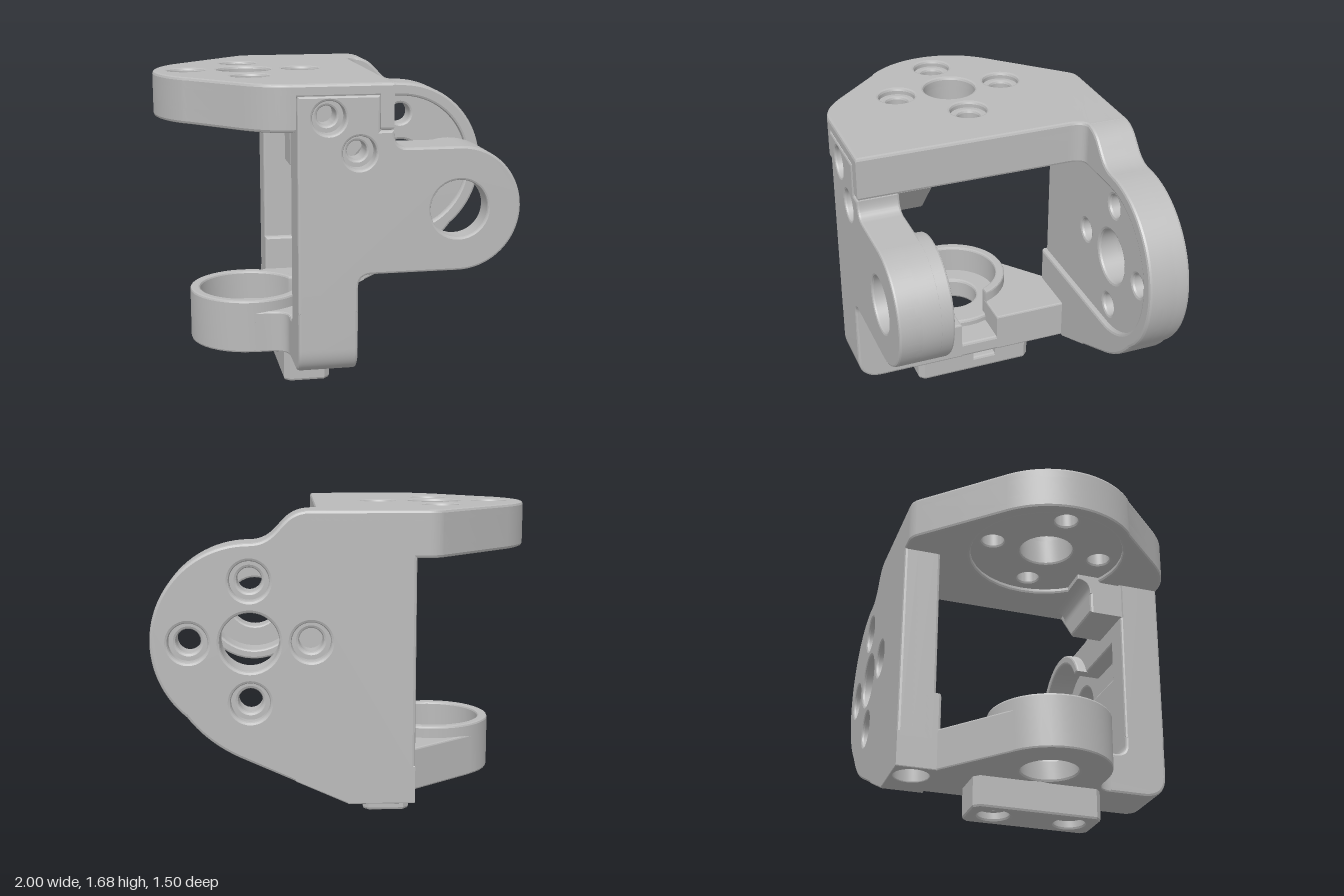
import * as THREE from 'three';
import { toCreasedNormals } from 'three/addons/utils/BufferGeometryUtils.js';

const PI = Math.PI;

export function createModel() {
  const group = new THREE.Group();
  const grey = new THREE.MeshStandardMaterial({ color: 0xbababa });
  grey.name = 'light grey';

  const circle = (x, y, r, Kind = THREE.Path) => new Kind().absarc(x, y, r, 0, PI * 2, false);
  const ringOfHoles = (x, y, r) =>
    [0, 1, 2, 3].map(i => circle(x + 0.31 * Math.cos(i * PI / 2), y + 0.31 * Math.sin(i * PI / 2), r));
  const trace = (s, pts) => pts.forEach(p => s.lineTo(...p));
  const polygon = pts => {
    const s = new THREE.Shape();
    s.moveTo(...pts[0]);
    trace(s, pts.slice(1));
    return s;
  };

  // Softly bevelled slab from a to b along an axis.
  // z: shape is (x, y); y: shape is (x, z); x: shape is (z, y).
  function slab(name, axis, shape, a, b, holes = [], bevel = 0.015) {
    shape.holes = holes;
    const geo = new THREE.ExtrudeGeometry(shape, {
      depth: b - a - 2 * bevel, bevelSize: bevel, bevelThickness: bevel,
      bevelOffset: -bevel, bevelSegments: 2, curveSegments: 18,
    });
    geo.translate(0, 0, (axis === 'z' ? a : -b) + bevel);
    if (axis === 'y') geo.rotateX(PI / 2);
    if (axis === 'x') geo.rotateY(-PI / 2);
    const mesh = new THREE.Mesh(toCreasedNormals(geo, 0.35), grey);
    mesh.name = name;
    group.add(mesh);
    return mesh;
  }

  // Back plate: counterbored outer layer, core and raised inner rim
  const backOutline = rim => {
    const s = new THREE.Shape();
    s.moveTo(-0.34, 0.34);
    trace(s, [[0.25, 0.34], [0.25, 0.284], [0.55, 0.42]]);
    s.quadraticCurveTo(0.72, 0.5, 0.822, 0.638);
    s.absarc(0.5, 1.02, 0.5, -0.87, PI / 2, false);
    s.bezierCurveTo(0.34, 1.52, 0.36, 1.68, 0.19, 1.68);
    s.lineTo(-0.34, 1.68);
    if (rim) {
      s.lineTo(-0.34, 1.44);
      s.absarc(0.5, 1.02, 0.42, PI / 2, -PI / 2, true);
      s.lineTo(-0.34, 0.6);
    }
    return s;
  };
  const backBore = () => circle(0.5, 1.02, 0.15);
  slab('backPlateOuter', 'z', backOutline(false), -0.75, -0.65, [backBore(), ...ringOfHoles(0.5, 1.02, 0.1)]);
  slab('backPlateCore', 'z', backOutline(false), -0.69, -0.55, [backBore(), ...ringOfHoles(0.5, 1.02, 0.062)]);
  slab('backPlateRim', 'z', backOutline(true), -0.62, -0.52);

  // Foot of the back plate: two counterbored pieces, the second one sloped
  const foot = (name, x0, x1, hx) => slab(name, 'y',
    polygon([[x0, -0.75], [x1, -0.75], [x1, -0.52], [x0, -0.52]]), 0.17, 0.37, [circle(hx, -0.64, 0.095)], 0.006);
  foot('backFoot', -0.34, 0.005, -0.22);
  const slope = foot('slopedBackFoot', -0.005, 0.275, 0.13).geometry;
  const pos = slope.attributes.position;
  for (let i = 0; i < pos.count; i++) {
    if (pos.getY(i) < 0.25) pos.setY(i, pos.getY(i) + 0.4545 * Math.max(0, pos.getX(i)));
  }
  slope.computeVertexNormals();

  // Top plate: counterbored upper layer, core, and a rim with a round recess
  // below; the lower layers leave a pocket for the post
  const topOutline = pocket => {
    const s = new THREE.Shape();
    s.moveTo(0.16, 0.745);
    if (pocket) trace(s, [[0.09, 0.745], [0.09, 0.52], [-0.335, 0.52], [-0.335, 0.745]]);
    s.lineTo(-0.36, 0.745);
    s.bezierCurveTo(-0.47, 0.745, -0.55, 0.67, -0.6, 0.62);
    s.lineTo(-0.84, 0.362);
    s.absarc(-0.51, 0.005, 0.49, 2.36, 3.92, false);
    s.lineTo(-0.48, -0.72);
    s.quadraticCurveTo(-0.45, -0.75, -0.4, -0.75);
    s.lineTo(0.22, -0.75);
    s.lineTo(0.22, -0.52);
    s.quadraticCurveTo(0.16, -0.52, 0.16, -0.43);
    return s;
  };
  const topBore = () => circle(-0.51, 0.005, 0.145);
  slab('topPlateUpper', 'y', topOutline(false), 1.61, 1.68, [topBore(), ...ringOfHoles(-0.51, 0.005, 0.1)]);
  slab('topPlateCore', 'y', topOutline(true), 1.47, 1.645, [topBore(), ...ringOfHoles(-0.51, 0.005, 0.062)]);
  slab('topPlateRim', 'y', topOutline(true), 1.44, 1.54, [circle(-0.51, 0.005, 0.42)]);

  // Lug under the top plate that takes the post screws, with a fillet behind
  slab('postLug', 'z', polygon([[-0.335, 1.6], [0.09, 1.6], [0.15, 1.5], [0.15, 1.44], [-0.02, 1.24], [-0.335, 1.24]]),
    0.335, 0.54);
  const fillet = new THREE.Shape();
  fillet.moveTo(0.4, 1.36);
  fillet.lineTo(0.335, 1.36);
  fillet.quadraticCurveTo(0.335, 1.44, 0.26, 1.442);
  trace(fillet, [[0.26, 1.48], [0.4, 1.48]]);
  slab('lugFillet', 'x', fillet, -0.335, 0.07, [], 0.004);

  // Front post with its arm; the inner layer has a cable channel
  const postOutline = () => {
    const s = new THREE.Shape();
    s.moveTo(-0.33, 0.5);
    s.lineTo(-0.02, 0.5);
    s.lineTo(-0.02, 0.63);
    s.quadraticCurveTo(-0.02, 0.7, 0.05, 0.7);
    s.lineTo(0.5, 0.7);
    s.absarc(0.505, 1.025, 0.325, -PI / 2, PI / 2, false);
    s.lineTo(0.23, 1.35);
    s.quadraticCurveTo(0.16, 1.35, 0.16, 1.44);
    trace(s, [[0.09, 1.44], [0.09, 1.62], [-0.33, 1.62]]);
    return s;
  };
  const screws = r => [circle(-0.17, 1.51, r), circle(-0.015, 1.33, r)];
  const keyhole = new THREE.Path();
  keyhole.absarc(0.505, 1.025, 0.27, -PI + 0.42, PI - 0.42, false);
  keyhole.lineTo(-0.18, 1.135);
  keyhole.lineTo(-0.18, 0.915);
  slab('postOuter', 'z', postOutline(), 0.62, 0.75, [circle(0.505, 1.025, 0.15), ...screws(0.085)], 0.012);
  slab('postInner', 'z', postOutline(), 0.52, 0.67, [keyhole, ...screws(0.05)], 0.012);

  // Open collar around a bearing seat, gap facing +x or -x
  const collar = (x, y, turn) => {
    const s = new THREE.Shape();
    s.absarc(x, y, 0.325, turn + 0.35, turn + 2 * PI - 0.35, false);
    s.absarc(x, y, 0.27, turn + 2 * PI - 0.42, turn + 0.42, true);
    return s;
  };
  const cx = -0.505, cz = 0.01;
  slab('frontCollar', 'z', collar(0.505, 1.025, PI), 0.46, 0.72, [], 0.012);
  slab('lowerCollar', 'y', collar(cx, cz, 0), 0.17, 0.465, [], 0.012);

  // Lower bar bending up into the post, with a gap for the bearing seat
  const bar = new THREE.Shape();
  bar.moveTo(-0.54, 0.17);
  bar.lineTo(0.61, 0.17);
  bar.quadraticCurveTo(0.75, 0.17, 0.75, 0.31);
  trace(bar, [[0.75, 0.6], [0.52, 0.6], [0.52, 0.46]]);
  bar.quadraticCurveTo(0.52, 0.4, 0.46, 0.4);
  trace(bar, [[0.3, 0.4], [0.3, 0.26], [-0.3, 0.26], [-0.3, 0.4], [-0.54, 0.4]]);
  slab('lowerBar', 'x', bar, -0.33, -0.02);

  // Seat floor with its bore
  slab('lowerSeatFloor', 'y', circle(cx, cz, 0.315, THREE.Shape), 0.17, 0.3, [circle(cx, cz, 0.15)]);

  // Shoulders on both sides of the cable channel; the back one is a web
  // running tangent from the collar to the back plate
  for (const side of [1, -1]) {
    const s = new THREE.Shape();
    const end = side > 0 ? PI / 2 : 2.22;
    s.moveTo(cx + 0.275, cz + side * 0.11);
    for (let i = 1; i <= 12; i++) {
      const a = 0.39 + (end - 0.39) * i / 12;
      s.lineTo(cx + 0.295 * Math.cos(a), cz + side * 0.295 * Math.sin(a));
    }
    s.lineTo(cx + 0.325 * Math.cos(end), cz + side * 0.325 * Math.sin(end));
    if (side > 0) {
      s.lineTo(cx + 0.06, cz + 0.325);
      s.quadraticCurveTo(-0.33, cz + 0.325, -0.33, 0.42);
      s.lineTo(-0.02, 0.42);
    } else {
      trace(s, [[-0.337, -0.54], [-0.02, -0.54]]);
    }
    s.lineTo(-0.02, cz + side * 0.11);
    slab(side > 0 ? 'frontShoulder' : 'backWeb', 'y', s, 0.17, 0.4, [], 0.01);
  }

  // Clamp block below the bar, with screw holes and a side slot
  const clampHoles = r => [circle(-0.225, 0.22, r), circle(-0.225, -0.2, r)];
  const c = 0.03;
  const clampOutline = slot => polygon([
    [-0.35 + c, -0.34], [-0.1 - c, -0.34], [-0.1, -0.34 + c],
    ...(slot ? [[-0.1, -0.12], [-0.2, -0.12], [-0.2, 0.02], [-0.1, 0.02]] : []),
    [-0.1, 0.36 - c], [-0.1 - c, 0.36], [-0.35 + c, 0.36], [-0.35, 0.36 - c], [-0.35, -0.34 + c],
  ]);
  slab('clampLower', 'y', clampOutline(false), 0, 0.08, clampHoles(0.085), 0.015);
  slab('clampUpper', 'y', clampOutline(true), 0.05, 0.19, clampHoles(0.05), 0.01);

  return group;
}
